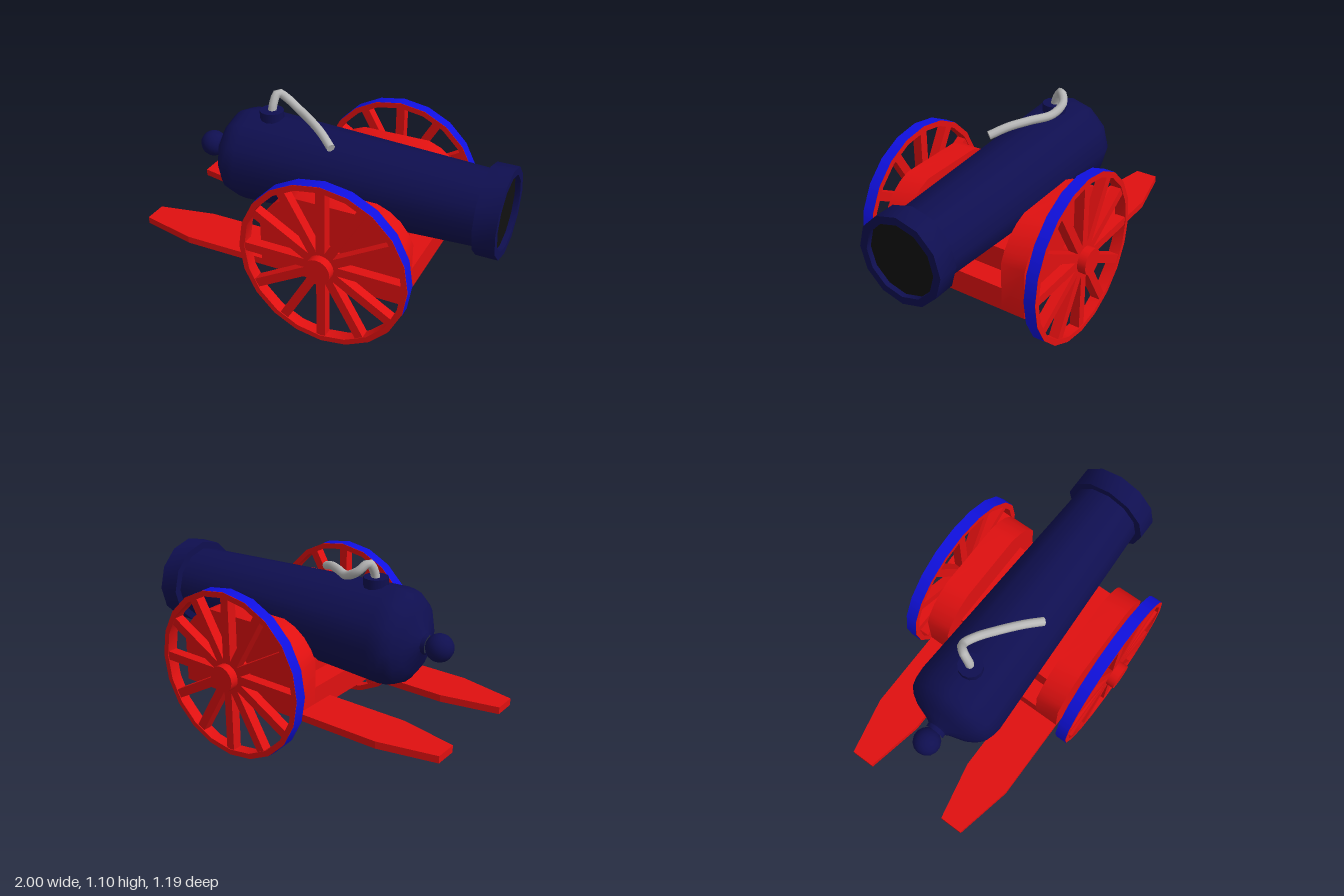
import * as THREE from 'three';
import { toCreasedNormals } from 'three/addons/utils/BufferGeometryUtils.js';

const paint = (name, color) => {
  const m = new THREE.MeshStandardMaterial({ color });
  m.name = name;
  return m;
};

export function createModel() {
  const navy = paint('navy iron', 0x0f0f50);
  const blue = paint('blue tyre', 0x1010e0);
  const red = paint('red wood', 0xe01010);
  const black = paint('black bore', 0x111111);
  const grey = paint('grey cord', 0xb8b8b8);
  const model = new THREE.Group();
  model.name = 'cannon';

  const add = (parent, name, geometry, material, x = 0, y = 0, z = 0) => {
    const mesh = new THREE.Mesh(geometry, material);
    mesh.name = name;
    mesh.position.set(x, y, z);
    parent.add(mesh);
    return mesh;
  };
  const shapeOf = (pts) => new THREE.Shape(pts.map(([x, y]) => new THREE.Vector2(x, y)));
  const extrude = (shape, depth, curveSegments = 12) =>
    new THREE.ExtrudeGeometry(shape, { depth, bevelEnabled: false, curveSegments });

  // Barrel: [radius, position along x], turned about the x axis
  const axisY = 0.71;
  const turn = (pts) => toCreasedNormals(
    new THREE.LatheGeometry(pts.map(([r, x]) => new THREE.Vector2(r, x)), 12).rotateZ(-Math.PI / 2), 0.7);
  add(model, 'barrel', turn([
    [0.055, -0.7], [0.055, -0.675], [0.075, -0.663], [0.167, -0.63], [0.215, -0.6], [0.247, -0.567],
    [0.26, -0.525], [0.265, -0.48], [0.206, 0.88],
  ]), navy, 0, axisY);
  add(model, 'muzzleRing', turn([
    [0.2, 0.88], [0.246, 0.88], [0.246, 1], [0.204, 1], [0.204, 0.97],
  ]), navy, 0, axisY);
  add(model, 'bore', new THREE.CircleGeometry(0.205, 12).rotateY(Math.PI / 2), black, 0.971, axisY);
  add(model, 'breechKnob', new THREE.SphereGeometry(0.075, 14, 10), navy, -0.76, axisY);

  // Vent and fuse
  add(model, 'vent', new THREE.CylinderGeometry(0.067, 0.067, 0.09, 12), navy, -0.365, 0.96);
  const fusePath = new THREE.CatmullRomCurve3([
    [-0.365, 0.97, 0], [-0.363, 1.03, -0.012], [-0.352, 1.088, -0.05], [-0.31, 1.045, -0.088],
    [-0.23, 1.003, -0.07], [-0.12, 0.99, 0.005], [-0.02, 0.972, 0.08], [0.065, 0.938, 0.146],
  ].map((p) => new THREE.Vector3(...p)));
  add(model, 'fuse', new THREE.TubeGeometry(fusePath, 32, 0.024, 10), grey);
  const fuseEnd = add(model, 'fuseEnd', new THREE.CircleGeometry(0.024, 10), grey);
  fuseEnd.position.copy(fusePath.getPoint(1));
  fuseEnd.lookAt(fusePath.getPoint(1).add(fusePath.getTangent(1)));

  // Carriage bed with a raised middle under the barrel
  add(model, 'bed', new THREE.BoxGeometry(0.81, 0.135, 0.62), red, 0.2, 0.3725);
  add(model, 'bedBlock', new THREE.BoxGeometry(0.56, 0.135, 0.62), red, 0.2, 0.5075);

  const cheek = toCreasedNormals(extrude(shapeOf([
    [-0.205, 0.305], [0.605, 0.305], [0.605, 0.59], [0.575, 0.65], [0.53, 0.706], [0.47, 0.75], [0.4, 0.778],
    [0, 0.778], [-0.07, 0.75], [-0.13, 0.706], [-0.175, 0.65], [-0.205, 0.59],
  ]), 0.14), 0.7);

  // Wheel parts, centred on the hub
  const R = 0.477;
  const ringPoints = (r) => Array.from({ length: 20 }, (_, i) => {
    const a = (i / 20) * Math.PI * 2;
    return [r * Math.cos(a), r * Math.sin(a)];
  });
  const rimShape = shapeOf(ringPoints(R - 0.002));
  rimShape.holes.push(shapeOf(ringPoints(0.444)));
  const rim = toCreasedNormals(extrude(rimShape, 0.065).translate(0, 0, -0.0325), 0.7);
  const tyre = new THREE.CylinderGeometry(R, R, 0.066, 20, 1, true).rotateX(Math.PI / 2);
  const spoke = new THREE.BoxGeometry(0.05, 0.4, 0.056).translate(0, 0.25, 0);

  for (const side of [1, -1]) {
    const name = side > 0 ? 'left' : 'right';
    add(model, name + 'Cheek', cheek, red, 0, 0, side > 0 ? 0.305 : -0.445);

    // Flat trail with a tapered end
    const trail = extrude(shapeOf([
      [-0.2, 0.18], [-0.2, 0.445], [-0.68, 0.445], [-1, 0.375], [-1, 0.245], [-0.68, 0.18],
    ].map(([x, z]) => [x, z * side])), 0.04).rotateX(Math.PI / 2);
    add(model, name + 'Trail', trail, red, 0, 0.345);

    const wheel = new THREE.Group();
    wheel.name = name + 'Wheel';
    wheel.position.set(0.2, R, side * 0.519);
    add(wheel, 'rim', rim, red);
    add(wheel, 'tyre', tyre, blue);
    for (let i = 0; i < 12; i++) add(wheel, 'spoke', spoke, red).rotation.z = (i * Math.PI) / 6;
    model.add(wheel);
  }

  // Axle running through both hubs
  add(model, 'axle', new THREE.CylinderGeometry(0.074, 0.074, 1.19, 20).rotateX(Math.PI / 2), red, 0.2, R);
  return model;
}
